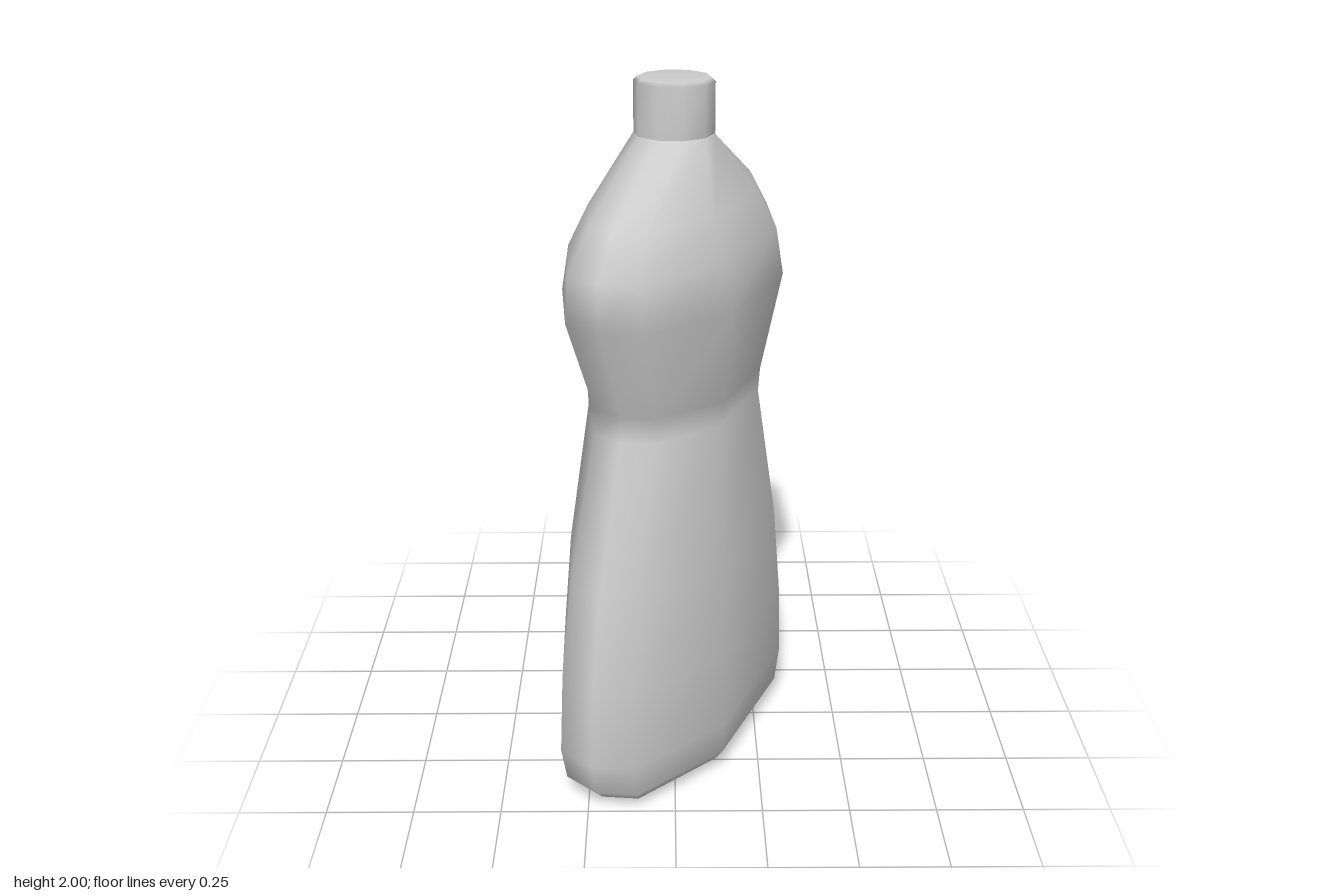
import * as THREE from 'three';

const SIDES = 10;
const TURN = THREE.MathUtils.degToRad(24.3); // the bottle stands turned about y

// Ten-sided oval in the bottle's own axes: [along the width, along the depth]
const quarter = [[0.576, 0], [0.538, 0.115], [0.231, 0.262]];
const half = [...quarter, ...quarter.slice(1).reverse().map(([u, v]) => [-u, v])];
const oval = [...half, ...half.map(([u, v]) => [-u, -v])];

const circle = (r) => Array.from({ length: SIDES }, (_, k) => {
  const a = (k / SIDES) * Math.PI * 2;
  return [r * Math.cos(a), r * Math.sin(a)];
});
const scaledOval = (su, sv) => oval.map(([u, v]) => [u * su, v * sv]);

// Skin a stack of { y, points } rings, closing the ends that are asked for
function loft(rings, capBottom, capTop) {
  const positions = [];
  const index = [];
  const s = Math.sin(TURN), c = Math.cos(TURN);
  for (const { y, points } of rings) {
    for (const [u, v] of points) positions.push(u * s + v * c, y, -u * c + v * s);
  }
  for (let i = 0; i < rings.length - 1; i++) {
    for (let k = 0; k < SIDES; k++) {
      const a = i * SIDES + k, b = i * SIDES + ((k + 1) % SIDES);
      index.push(a, a + SIDES, b, b, a + SIDES, b + SIDES);
    }
  }
  const cap = (ring, up) => {
    const centre = positions.length / 3;
    positions.push(0, rings[ring].y, 0);
    for (let k = 0; k < SIDES; k++) {
      const a = ring * SIDES + k, b = ring * SIDES + ((k + 1) % SIDES);
      index.push(centre, up ? b : a, up ? a : b);
    }
  };
  if (capBottom) cap(0, false);
  if (capTop) cap(rings.length - 1, true);
  const geometry = new THREE.BufferGeometry();
  geometry.setAttribute('position', new THREE.Float32BufferAttribute(positions, 3));
  geometry.setIndex(index);
  geometry.computeVertexNormals();
  return geometry;
}

export function createModel() {
  const group = new THREE.Group();
  group.name = 'squeezeBottle';
  const material = new THREE.MeshStandardMaterial({ color: 0xcccccc });
  const add = (name, geometry) => {
    const mesh = new THREE.Mesh(geometry, material);
    mesh.name = name;
    group.add(mesh);
  };

  // Body: height, width scale, depth scale
  const profile = [
    [0, 0.68, 0.72], [0.025, 0.885, 0.86], [0.065, 0.955, 0.965], [0.17, 1, 1],
    [0.4, 0.965, 0.985], [0.67, 0.867, 0.93], [1.08, 0.63, 0.775], [1.15, 0.61, 0.8],
    [1.43, 0.83, 0.967], [1.56, 0.83, 0.88], [1.67, 0.675, 0.71],
  ];
  const body = profile.map(([y, su, sv]) => ({ y, points: scaledOval(su, sv) }));
  body.push({ y: 1.85, points: circle(0.111) }); // shoulders close to the round neck
  add('body', loft(body, true, false));

  // Neck with a slightly softened rim
  const neck = [[1.85, 0.111], [1.99, 0.111], [2, 0.1]];
  add('neck', loft(neck.map(([y, r]) => ({ y, points: circle(r) })), false, true));

  return group;
}
